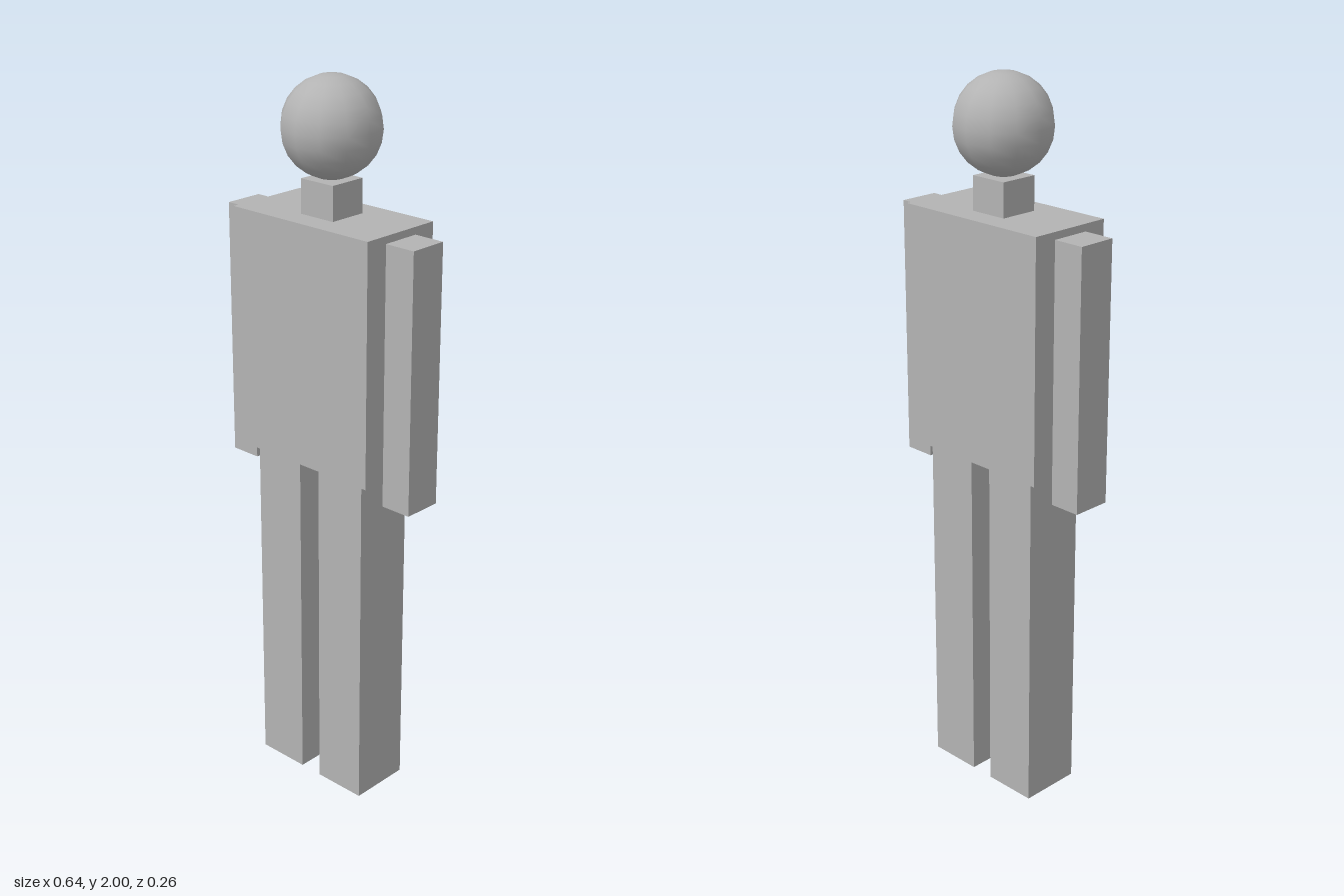
import * as THREE from 'three';

export function createModel() {
  const figure = new THREE.Group();
  figure.name = 'blockFigure';
  const grey = new THREE.MeshStandardMaterial({ color: 0xb3b3b3 });
  grey.name = 'plain grey';

  function add(name, geometry, x, y) {
    const mesh = new THREE.Mesh(geometry, grey);
    mesh.name = name;
    mesh.position.set(x, y, 0);
    figure.add(mesh);
  }

  // Box given by its x and y limits and its depth, centred on z = 0
  function addBox(name, x0, x1, y0, y1, depth) {
    const geometry = new THREE.BoxGeometry(x1 - x0, y1 - y0, depth);
    add(name, geometry, (x0 + x1) / 2, (y0 + y1) / 2);
  }

  // Head, neck and torso
  add('head', new THREE.SphereGeometry(0.132, 12, 12), 0, 1.868);
  addBox('neck', -0.055, 0.055, 1.645, 1.737, 0.11);
  addBox('torso', -0.233, 0.233, 0.985, 1.645, 0.244);

  // Left limbs on +x, right limbs mirrored
  addBox('leftArm', 0.233, 0.322, 0.915, 1.625, 0.11);
  addBox('rightArm', -0.322, -0.233, 0.915, 1.625, 0.11);
  addBox('leftLeg', 0.034, 0.188, 0, 0.985, 0.176);
  addBox('rightLeg', -0.188, -0.034, 0, 0.985, 0.176);

  return figure;
}
